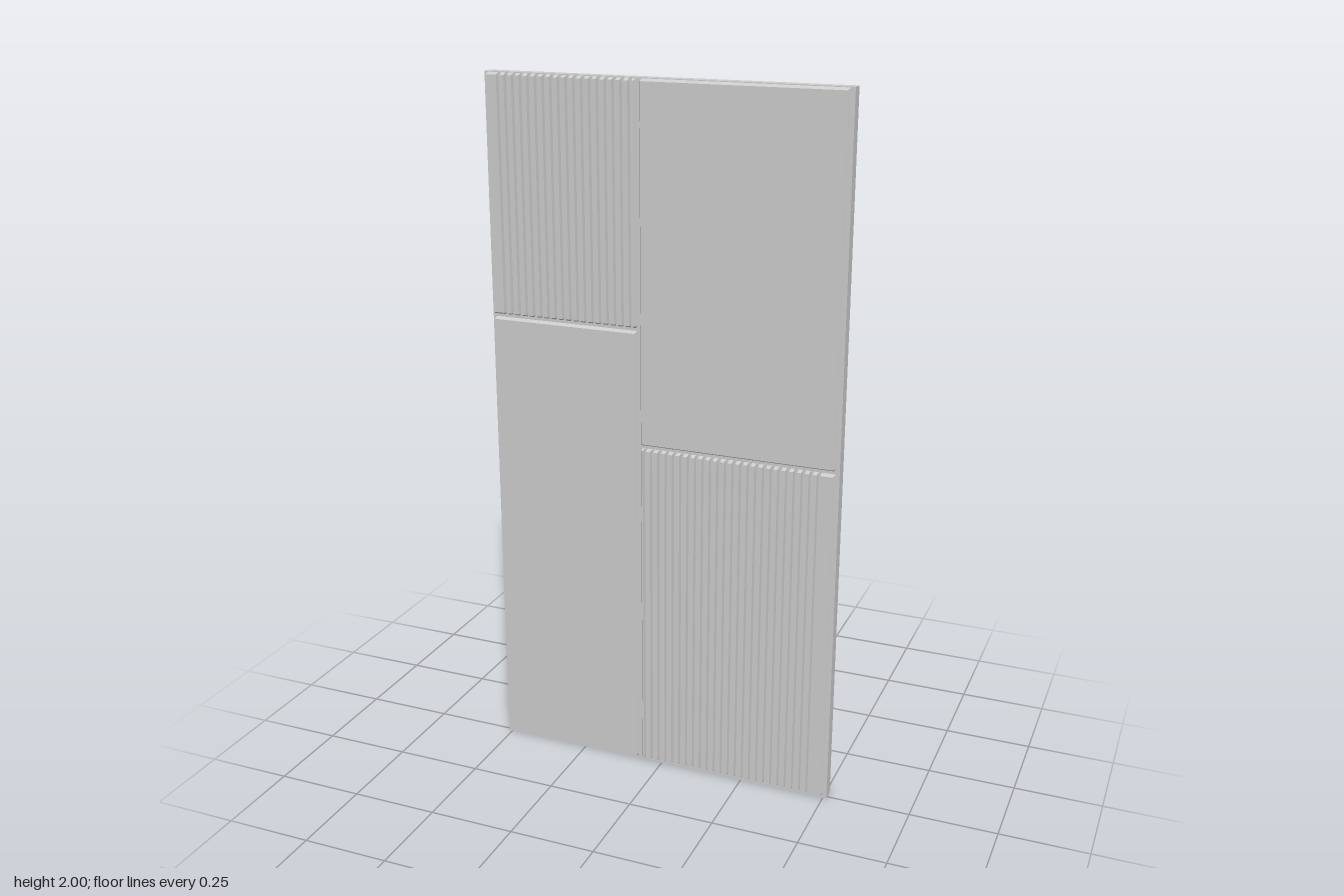
import * as THREE from 'three';

const W = 1.022, H = 2, BACK = -0.024, FLOOR = 0.01, FACE = 0.021, WALL = 0.004;
const mat = new THREE.MeshStandardMaterial({ color: 0xcccccc, flatShading: true, side: THREE.DoubleSide });

// Horizontal section of a raised panel: chamfered sides, grooves between g0 and g1
function section(x0, x1, g0, g1, count) {
  const c = 0.006, pts = [[x0, FLOOR], [x0 + c, FACE]];
  const pitch = count ? (g1 - g0) / count : 0;
  for (let i = 0; i < count; i++) {
    const x = g0 + (i + 0.5) * pitch;
    pts.push([x - pitch * 0.25, FACE], [x - pitch * 0.13, FLOOR], [x + pitch * 0.13, FLOOR], [x + pitch * 0.25, FACE]);
  }
  pts.push([x1 - c, FACE], [x1, FLOOR]);
  return pts;
}

// Raised panel: the section lofted upward, sloping to the floor at both ends
function panel(name, x0, x1, y0, y1, g0 = 0, g1 = 0, count = 0) {
  const pts = section(x0, x1, g0, g1, count), c = 0.006, pos = [], idx = [];
  const rows = [[y0, 0], [y0 + c, 1], [y1 - c, 1], [y1, 0]];
  for (const [y, k] of rows) for (const [x, z] of pts) pos.push(x, y, FLOOR + (z - FLOOR) * k);
  const n = pts.length;
  for (let r = 0; r < rows.length - 1; r++) {
    for (let i = 0; i < n - 1; i++) {
      const a = r * n + i, b = a + 1, d = a + n, e = d + 1;
      idx.push(a, b, e, a, e, d);
    }
  }
  const indexed = new THREE.BufferGeometry();
  indexed.setAttribute('position', new THREE.Float32BufferAttribute(pos, 3));
  indexed.setIndex(idx);
  const geo = indexed.toNonIndexed();
  geo.computeVertexNormals();
  const mesh = new THREE.Mesh(geo, mat);
  mesh.name = name;
  return mesh;
}

function box(name, w, h, d, x, y, z) {
  const mesh = new THREE.Mesh(new THREE.BoxGeometry(w, h, d), mat);
  mesh.name = name;
  mesh.position.set(x, y, z);
  return mesh;
}

export function createModel() {
  const group = new THREE.Group();
  group.name = 'doorPanel';

  // Backing sheet and the rim that makes the back a shallow tray
  const t = 0.003, depth = FLOOR - BACK, mid = (FLOOR + BACK) / 2;
  group.add(box('backingSheet', W - 2 * WALL, H - 2 * WALL, t, 0, H / 2, FLOOR - t / 2));
  for (const s of [-1, 1]) {
    group.add(box(s > 0 ? 'leftRim' : 'rightRim', WALL, H, depth, s * (W - WALL) / 2, H / 2, mid));
    group.add(box(s > 0 ? 'topRim' : 'bottomRim', W - 2 * WALL, WALL, depth, 0, H / 2 + s * (H - WALL) / 2, mid));
  }

  // Two plain and two ribbed panels in a staggered layout
  group.add(
    panel('upperRibbedPanel', -0.507, -0.07, 1.335, 1.998, -0.477, -0.074, 18),
    panel('lowerPlainPanel', -0.507, -0.07, 0.01, 1.327),
    panel('upperPlainPanel', -0.062, 0.5, 1.0, 1.998),
    panel('lowerRibbedPanel', -0.062, 0.5, 0.01, 0.992, -0.058, 0.467, 24),
  );
  return group;
}
